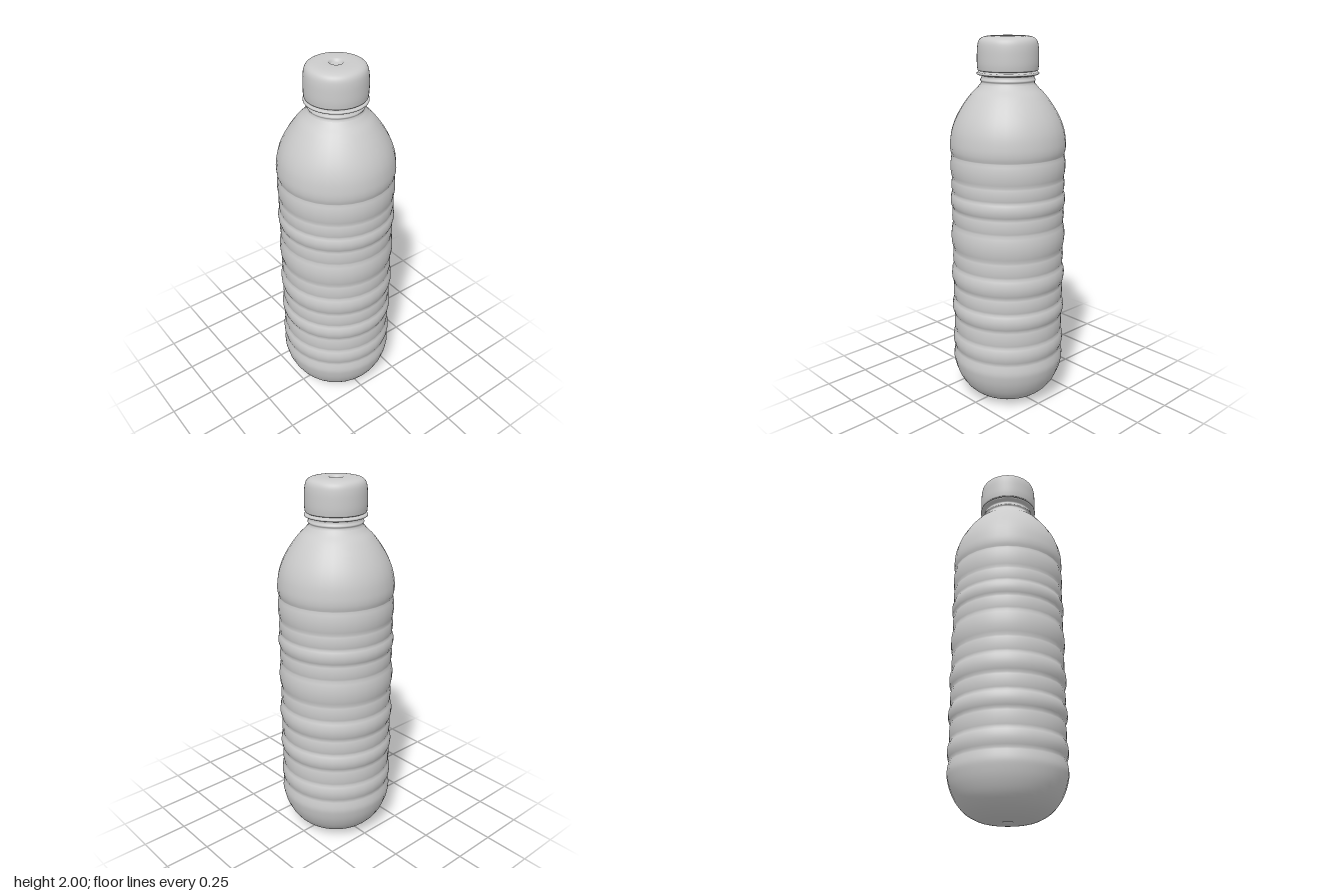
import * as THREE from 'three';

const V = (p) => new THREE.Vector2(p[0], p[1]);
const smooth = (points, n) => new THREE.SplineCurve(points.map(V)).getPoints(n);

function turned(name, profile, segments, material) {
  const mesh = new THREE.Mesh(new THREE.LatheGeometry(profile, segments), material);
  mesh.name = name;
  return mesh;
}

export function createModel() {
  const group = new THREE.Group();
  group.name = 'bottle';
  const material = new THREE.MeshStandardMaterial({ color: 0xcccccc, side: THREE.DoubleSide });

  // Rounded base with a small dimple in the middle
  const base = smooth([
    [0, 0.012], [0.02, 0.012], [0.03, 0.004], [0.06, 0.003], [0.11, 0.005], [0.16, 0.018],
    [0.215, 0.05], [0.258, 0.097], [0.288, 0.155], [0.304, 0.21], [0.308, 0.25], [0.299, 0.3],
  ], 40);

  // Stacked ribs: each bulges between two grooves
  const grooves = [0.3, 0.4, 0.495, 0.59, 0.68, 0.79, 0.88, 1.025, 1.11, 1.195, 1.274, 1.396];
  const ribs = [];
  for (let i = 0; i < grooves.length - 1; i++) {
    const height = grooves[i + 1] - grooves[i];
    // Shallow bands alternate with full ribs
    const bulge = [0.012, 0.005, 0.013, 0.006, 0.013, 0.005, 0.011, 0.005, 0.011, 0.005, 0.008][i];
    for (let k = 1; k <= 8; k++) {
      const t = k / 8;
      ribs.push(V([0.298 + bulge * Math.sin(Math.PI * t) ** 0.8, grooves[i] + height * t]));
    }
  }

  // Domed shoulder running up to the neck
  const shoulder = smooth([
    [0.298, 1.396], [0.305, 1.425], [0.305, 1.465], [0.295, 1.525], [0.273, 1.585],
    [0.238, 1.647], [0.195, 1.705], [0.16, 1.74], [0.143, 1.76],
  ], 36).slice(1);
  group.add(turned('body', [...base, ...ribs, ...shoulder], 32, material));

  // Neck with a thread bead and a collar ring
  const neck = smooth([
    [0.143, 1.758], [0.138, 1.77], [0.143, 1.78], [0.137, 1.792], [0.138, 1.803],
    [0.157, 1.807], [0.161, 1.813], [0.157, 1.819], [0.14, 1.823], [0.138, 1.85],
  ], 40);
  group.add(turned('neck', neck, 32, material));

  // Cap with rounded shoulders and a dimple on top
  const cap = [
    V([0.138, 1.827]), V([0.153, 1.827]),
    ...smooth([
      [0.156, 1.83], [0.159, 1.86], [0.159, 1.9], [0.157, 1.94], [0.151, 1.97],
      [0.137, 1.988], [0.11, 1.997], [0.07, 2], [0.04, 1.999],
    ], 32),
    V([0.034, 1.997]), V([0.029, 1.988]), V([0.026, 1.985]), V([0, 1.985]),
  ];
  group.add(turned('cap', cap, 48, material));

  return group;
}
